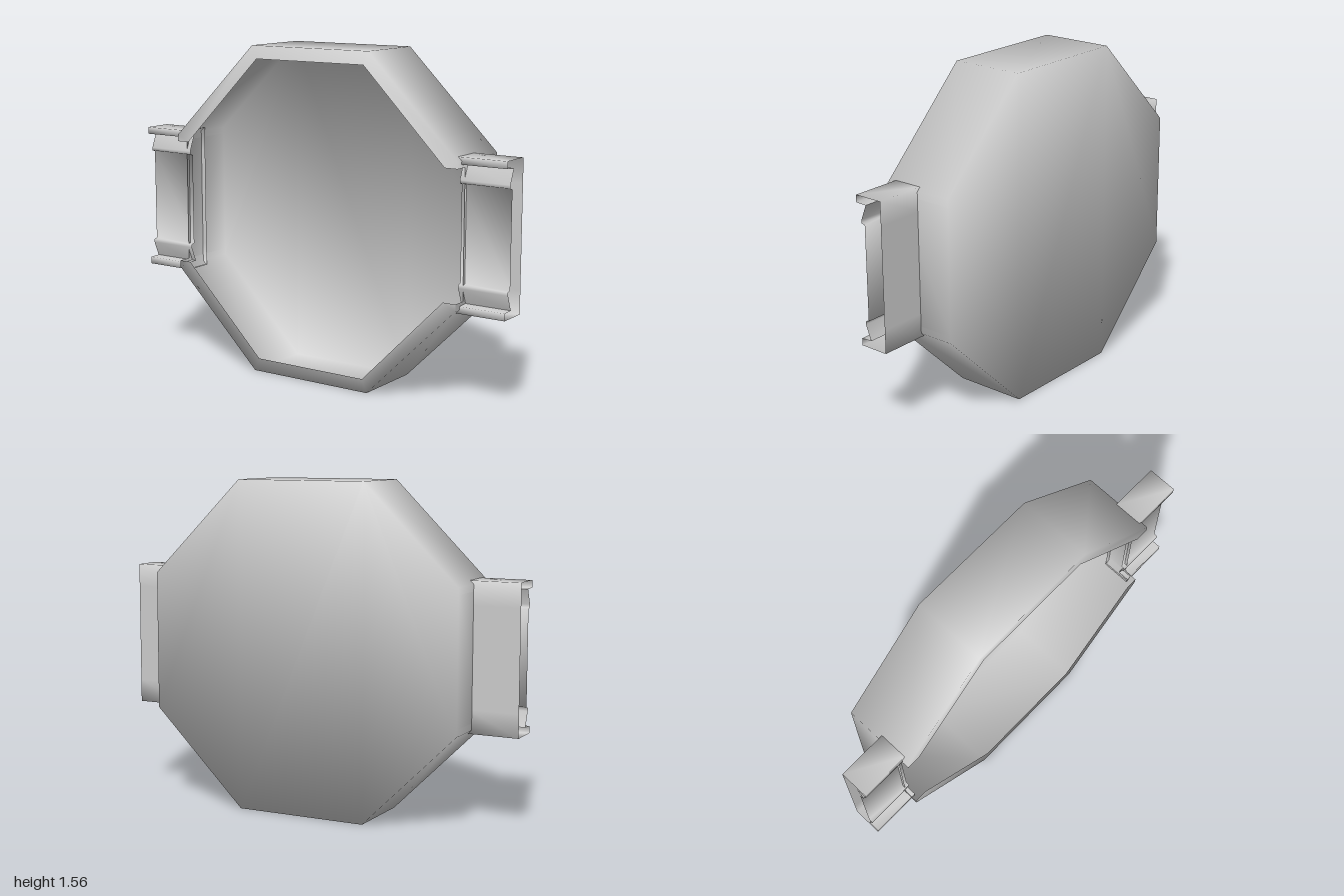
import * as THREE from 'three';
import { toCreasedNormals } from 'three/addons/utils/BufferGeometryUtils.js';

const material = new THREE.MeshStandardMaterial({ color: 0xcccccc, side: THREE.DoubleSide });
const MID = 0.778; // height of the centre line

function indexed(points, index) {
  const g = new THREE.BufferGeometry();
  g.setAttribute('position', new THREE.Float32BufferAttribute(points.flat(), 3));
  g.setIndex(index);
  return g;
}

// Ring of 16 points (counter-clockwise from the front) made from its lower right quarter
function ring(quarter) {
  const right = [...quarter, ...quarter.slice().reverse().map(([x, y, z]) => [x, 2 * MID - y, z])];
  return [...right, ...right.slice().reverse().map(([x, y, z]) => [-x, y, z])];
}

// Thin octagonal shell: flat back, wall lowered at both sides, inward lip above and below
function dishGeometry() {
  const F = 0.175, S = 0.11, n = 16;
  const rings = [
    ring([[0.32, 0, -F], [0.778, 0.45, -F], [0.778, 0.482, -F], [0.778, 0.482, -F]]),
    ring([[0.32, 0, F], [0.778, 0.45, F], [0.778, 0.482, F], [0.778, 0.482, S]]),
    // The lip ends where it meets the lowered wall
    ring([[0.295, 0.062, F], [0.715, 0.482, F], [0.778, 0.482, F], [0.778, 0.482, S]]),
  ];
  const index = [];
  const quad = (a, b, c, d) => index.push(a, b, c, a, c, d);
  for (let r = 0; r < 2; r++) {
    for (let i = 0; i < n; i++) {
      const j = (i + 1) % n;
      quad(r * n + i, r * n + j, (r + 1) * n + j, (r + 1) * n + i);
    }
  }
  // Vertical strips closing the back
  for (const k of [0, 1, 2]) {
    quad(7 - k, 6 - k, k + 1, k);
    quad(8 + k, 15 - k, 14 - k, 9 + k);
  }
  quad(8, 7, 0, 15);

  // Soft normals: outward from the axis, tilted to the back or front ring by ring
  const tilt = [-0.9, 0.5, 2];
  const normals = rings.flatMap((points, r) => points.map(([x, y]) => {
    const out = new THREE.Vector2(x, y - MID).normalize();
    return new THREE.Vector3(out.x, out.y, tilt[r]).normalize().toArray();
  }));
  const g = indexed(rings.flat(), index);
  g.setAttribute('normal', new THREE.Float32BufferAttribute(normals.flat(), 3));
  return g;
}

// Side bracket: hollow section with flanges and ridges, open at both ends
function bracketGeometry(x0, x1) {
  const half = [[0.235, 0], [0.345, 0], [0.345, 0.14], [0.312, 0.14], [0.31, 0.085],
    [0.24, 0.113], [0.225, 0.113], [0.22, 0.095]];
  const profile = [...half, ...half.slice().reverse().map(([v, z]) => [-v, z])];
  const points = profile.flatMap(([v, z]) => [[x0, MID + v, z], [x1, MID + v, z]]);
  const index = [], n = profile.length;
  for (let i = 0; i < n; i++) {
    const a = 2 * i, b = 2 * ((i + 1) % n);
    index.push(a, b + 1, a + 1, a, b, b + 1);
  }
  return toCreasedNormals(indexed(points, index), 1.7);
}

export function createModel() {
  const group = new THREE.Group();
  const add = (name, geometry) => {
    const mesh = new THREE.Mesh(geometry, material);
    mesh.name = name;
    group.add(mesh);
  };
  add('dish', dishGeometry());
  add('leftBracket', bracketGeometry(0.755, 1));
  add('rightBracket', bracketGeometry(-1, -0.755));
  return group;
}
